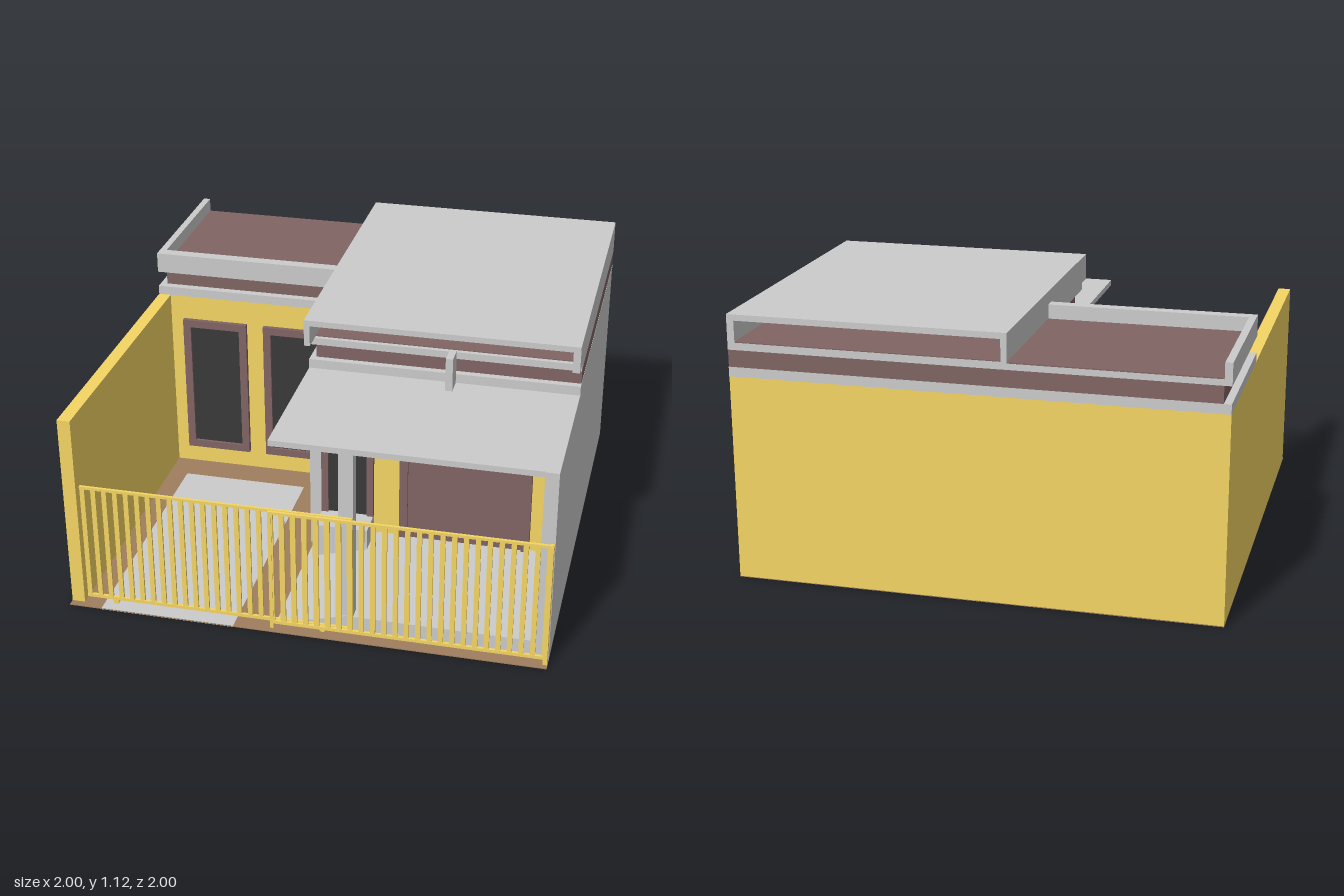
import * as THREE from 'three';

const mat = (color) => new THREE.MeshStandardMaterial({ color });

export function createModel() {
  const model = new THREE.Group();
  const grey = mat(0xcccccc), yellow = mat(0xf5d663), brown = mat(0x806563);
  const earth = mat(0x9f7e5e), glass = mat(0x393939);

  // box given by its limits along each axis
  function box(name, material, x0, x1, y0, y1, z0, z1, parent = model) {
    const m = new THREE.Mesh(new THREE.BoxGeometry(x1 - x0, y1 - y0, z1 - z0), material);
    m.position.set((x0 + x1) / 2, (y0 + y1) / 2, (z0 + z1) / 2);
    m.name = name;
    parent.add(m);
    return m;
  }

  // ground with a paved inset
  box('ground', earth, -1, 1, 0, 0.004, -1, 1);
  box('paving', grey, -0.86, -0.29, -0.001, 0.006, -0.15, 1);

  // main volumes and boundary walls
  box('leftRoomWalls', yellow, -0.95, -0.14, 0.003, 0.86, -1, -0.29);
  box('frontRoomWalls', yellow, -0.14, 0.945, 0.003, 0.86, -1, 0.28);
  box('yellowBoundaryWall', yellow, -1, -0.945, 0.003, 0.86, -1, 0.97);
  box('greyBoundaryWall', grey, 0.945, 1, 0.003, 0.86, -0.995, 0.945);
  box('backWallEnd', yellow, 0.945, 0.999, 0.003, 0.86, -1, -0.995);

  // porch: floor, ramp, step, columns and canopy
  box('porchFloor', grey, 0.17, 0.945, 0.003, 0.085, 0.28, 0.94);
  const ramp = new THREE.Shape([[-0.13, 0.003], [0.17, 0.003], [0.17, 0.085]]
    .map(([x, y]) => new THREE.Vector2(x, y)));
  const rampMesh = new THREE.Mesh(
    new THREE.ExtrudeGeometry(ramp, { depth: 0.66, bevelEnabled: false }), grey);
  rampMesh.position.z = 0.28;
  rampMesh.name = 'porchRamp';
  model.add(rampMesh);
  box('doorStep', grey, -0.09, 0.14, 0.003, 0.17, 0.28, 0.42);
  box('cornerColumn', grey, -0.14, -0.09, 0.003, 0.84, 0.24, 0.30);
  box('porchColumn', grey, 0.14, 0.2, 0.003, 0.84, 0.88, 0.935);
  box('porchCanopy', grey, -0.14, 1, 0.835, 0.86, 0.26, 0.94);

  // framed opening on a wall facing the front
  function opening(name, x0, x1, y0, y1, z, border, panel, sill = border) {
    const g = new THREE.Group();
    g.name = name;
    model.add(g);
    const f = z + 0.02;
    box('frameLeft', brown, x0, x0 + border, y0, y1, z - 0.01, f, g);
    box('frameRight', brown, x1 - border, x1, y0, y1, z - 0.01, f, g);
    box('frameTop', brown, x0 + border, x1 - border, y1 - border, y1, z - 0.01, f, g);
    if (sill) box('frameBottom', brown, x0 + border, x1 - border, y0, y0 + sill, z - 0.01, f, g);
    box('panel', panel, x0 + border, x1 - border, y0 + sill, y1 - border, z - 0.01, z + 0.008, g);
  }
  opening('leftWindow', -0.885, -0.585, 0.09, 0.75, -0.29, 0.035, glass);
  opening('rightWindow', -0.505, -0.205, 0.09, 0.75, -0.29, 0.035, glass);
  opening('frontDoor', -0.09, 0.14, 0.17, 0.66, 0.28, 0.03, glass, 0);
  opening('wideDoor', 0.255, 0.825, 0.085, 0.70, 0.28, 0.036, brown, 0);

  // left roof: cornice, recessed band, deck and parapet open to the back
  box('leftCornice', grey, -1, -0.14, 0.86, 0.9, -1, -0.29);
  box('leftBand', brown, -0.97, -0.11, 0.9, 0.97, -1, -0.325);
  box('leftRoofEdge', grey, -1, -0.14, 0.97, 0.995, -1, -0.29);
  box('leftRoofDeck', brown, -0.97, -0.14, 0.99, 1, -0.999, -0.34);
  box('sideParapet', grey, -1, -0.97, 0.995, 1.06, -1, -0.29);
  box('frontParapet', grey, -0.97, -0.14, 0.995, 1.06, -0.34, -0.29);

  // right roof: cornice, band, deck and a raised cover open front and back
  box('rightCornice', grey, -0.14, 1, 0.86, 0.9, -1, 0.29);
  box('rightBand', brown, -0.115, 0.999, 0.9, 0.97, -1, 0.26);
  box('rightRoofEdge', grey, -0.14, 1, 0.97, 1, -1, 0.29);
  box('rightRoofDeck', brown, -0.12, 0.97, 0.99, 1.004, -0.999, 0.27);
  box('coverSide', grey, -0.14, -0.115, 1, 1.09, -1, 0.37);
  box('coverSide', grey, 0.97, 1, 1, 1.09, -1, 0.37);
  box('coverTop', grey, -0.14, 1, 1.09, 1.115, -1, 0.37);
  box('roofPost', grey, 0.455, 0.485, 0.86, 1.005, 0.285, 0.37);

  // barred fence and sliding gate, overlapping in the middle
  function fence(name, x0, x1, z, wheels) {
    const g = new THREE.Group();
    g.name = name;
    model.add(g);
    const d = 0.006, n = Math.round((x1 - x0) / 0.048);
    box('topRail', yellow, x0, x1, 0.545, 0.557, z - d, z + d, g);
    box('bottomRail', yellow, x0, x1, 0.026, 0.04, z - d, z + d, g);
    for (let i = 0; i <= n; i++) {
      const x = x0 + 0.011 + (x1 - x0 - 0.022) * i / n;
      box('bar', yellow, x - 0.01, x + 0.01, 0.04, 0.546, z - d * 0.8, z + d * 0.8, g);
    }
    for (const x of wheels) {
      const w = new THREE.Mesh(new THREE.CylinderGeometry(0.013, 0.013, 0.01, 16), yellow);
      w.rotation.x = Math.PI / 2;
      w.position.set(x, 0.016, z);
      w.name = 'wheel';
      g.add(w);
    }
  }
  fence('slidingGate', -0.935, 0.2, 0.952, [-0.81, 0.075]);
  fence('fixedFence', -0.14, 0.995, 0.969, []);
  box('fencePost', yellow, 0.98, 0.998, 0.004, 0.55, 0.947, 0.978);
  box('fencePost', yellow, -0.14, -0.125, 0.004, 0.55, 0.962, 0.976);

  // rest the lowest face on y = 0
  model.position.y = 0.001;
  return model;
}
